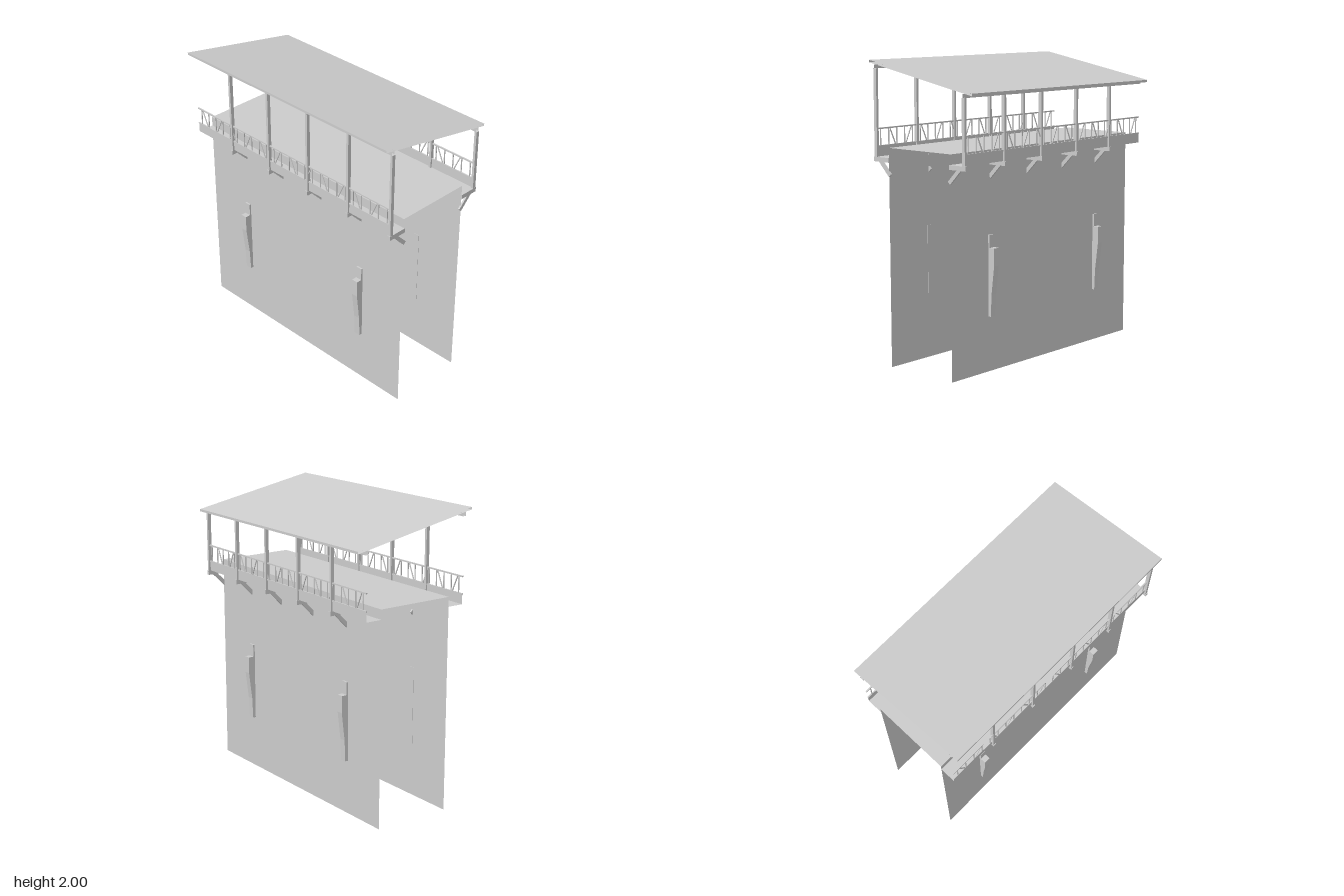
import * as THREE from 'three';

const grey = new THREE.MeshStandardMaterial({ color: 0xcccccc, flatShading: true, side: THREE.DoubleSide });
const HALF = 0.9;                                  // half the length along z
const POSTS = [0.898, 0.535, 0.175, -0.187, -0.548];
const MID = -0.004;                                // centre line of the tower under the roof

function add(parent, name, geometry, x = 0, y = 0, z = 0) {
  const mesh = new THREE.Mesh(geometry, grey);
  mesh.name = name;
  mesh.position.set(x, y, z);
  parent.add(mesh);
  return mesh;
}

// Thin sheet running the full length, between two points of the x-y section
function sheet(parent, name, x1, y1, x2, y2) {
  const geometry = new THREE.PlaneGeometry(Math.hypot(x2 - x1, y2 - y1), HALF * 2);
  geometry.rotateX(-Math.PI / 2);
  const mesh = add(parent, name, geometry, (x1 + x2) / 2, (y1 + y2) / 2, 0);
  mesh.rotation.z = Math.atan2(y2 - y1, x2 - x1);
  return mesh;
}

// Section in the x-y plane, given a width along z
function extrude(points, width) {
  const shape = new THREE.Shape(points.map(p => new THREE.Vector2(...p)));
  return new THREE.ExtrudeGeometry(shape, { depth: width, bevelEnabled: false }).translate(0, 0, -width / 2);
}

// Railing bar between two (z, y) points
function bar(parent, name, x, z1, y1, z2, y2, t) {
  const mesh = add(parent, name, new THREE.BoxGeometry(t, t, Math.hypot(z2 - z1, y2 - y1)), x, (y1 + y2) / 2, (z1 + z2) / 2);
  mesh.rotation.x = -Math.atan2(y2 - y1, z2 - z1);
}

function buildRailing(x) {
  const railing = new THREE.Group();
  railing.name = 'railing';
  bar(railing, 'topRail', x, -HALF, 1.561, HALF, 1.561, 0.009);
  bar(railing, 'bottomRail', x, -HALF, 1.447, HALF, 1.447, 0.009);
  const step = 0.072;
  for (let i = -12; i <= 12; i++) {
    bar(railing, 'baluster', x, i * step, 1.447, i * step, 1.561, 0.006);
    // leaning braces in every second bay, alternating in direction
    if (i % 2 === 0 && i < 12) {
      const lean = i % 4 === 0 ? 1 : -1;
      const c = (i + 0.5) * step;
      bar(railing, 'diagonal', x, c - lean * 0.026, 1.561, c + lean * 0.026, 1.447, 0.006);
    }
  }
  return railing;
}

// One long side: s = 1 for +x, -1 for -x
function buildSide(s, postTop) {
  const side = new THREE.Group();
  side.name = s > 0 ? 'leftSide' : 'rightSide';
  side.position.x = MID;

  sheet(side, 'wall', s * 0.272, 0, s * 0.272, 1.445);
  sheet(side, 'walkwayFloor', s * 0.272, 1.38, s * 0.386, 1.38);
  sheet(side, 'kickBoard', s * 0.386, 1.38, s * 0.386, 1.445);
  side.add(buildRailing(s * 0.386));

  // Posts with their floor beams and slanted braces
  const brace = extrude([[0.253, 1.275], [0.271, 1.257], [0.362, 1.35], [0.327, 1.35]].map(([x, y]) => [s * x, y]), 0.013);
  for (const z of POSTS) {
    add(side, 'post', new THREE.BoxGeometry(0.024, postTop - 1.375, 0.017), s * 0.387, (postTop + 1.375) / 2, z);
    add(side, 'floorBeam', new THREE.BoxGeometry(0.136, 0.03, 0.019), s * 0.336, 1.365, z);
    add(side, 'brace', brace, 0, 0, z);
  }

  // Tapered wall corbels
  const corbel = extrude([[0.27, 0.365], [0.293, 0.365], [0.299, 0.51], [0.322, 0.7], [0.322, 0.815],
    [0.284, 0.815], [0.284, 0.9], [0.27, 0.9]].map(([x, y]) => [s * x, y]), 0.045);
  for (const z of [0.535, -0.548]) add(side, 'corbel', corbel, 0, 0, z);

  // Hollow eaves beam on top of the posts
  const [a, b, y0, y1] = [s * 0.375, s * 0.399, postTop, postTop + 0.024];
  sheet(side, 'eavesBeam', a, y0, b, y0);
  sheet(side, 'eavesBeam', a, y0, a, y1);
  sheet(side, 'eavesBeam', b, y0, b, y1);
  return side;
}

export function createModel() {
  const model = new THREE.Group();
  model.name = 'tower';
  model.add(buildSide(1, 1.796), buildSide(-1, 1.948));
  sheet(model, 'deck', MID - 0.272, 1.445, MID + 0.272, 1.445);

  // Sloping roof with thin eaves edges
  const roof = new THREE.Group();
  roof.name = 'roof';
  sheet(roof, 'roofTop', -0.45, 2, 0.45, 1.825);
  sheet(roof, 'roofUnderside', -0.45, 1.984, 0.45, 1.809);
  sheet(roof, 'highEdge', -0.45, 1.984, -0.45, 2);
  sheet(roof, 'lowEdge', 0.45, 1.809, 0.45, 1.825);
  model.add(roof);
  return model;
}
